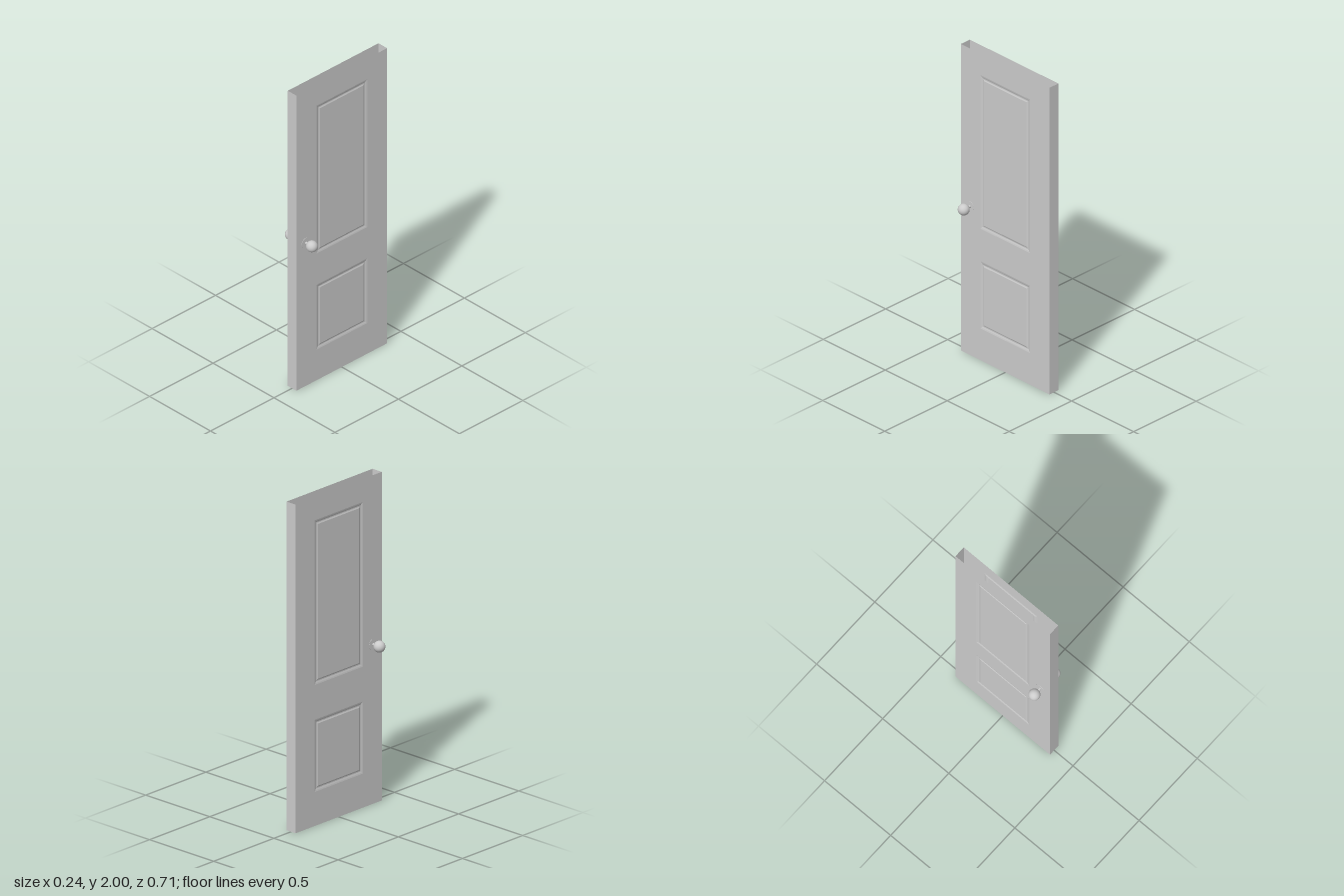
import * as THREE from 'three';

const WIDTH = 0.715, HEIGHT = 2, HALF = 0.036;
const PANELS = [[0.207, 0.646], [0.858, 1.86]]; // bottom and top of each panel
const PANEL_HALF = 0.201;
const KNOB = { y: 0.97, z: 0.284 };

// Moulding section: inset from the panel border, height relative to the face
const MOULDING = [[0, 0], [0.008, -0.0015], [0.016, -0.004], [0.022, -0.004], [0.03, -0.001]];

const shell = new THREE.MeshStandardMaterial({ color: 0xcccccc, side: THREE.DoubleSide });
const solid = new THREE.MeshStandardMaterial({ color: 0xcccccc });

function add(parent, name, geometry, material) {
  const mesh = new THREE.Mesh(geometry, material);
  mesh.name = name;
  parent.add(mesh);
  return mesh;
}

// Corners of a panel border, counter-clockwise, inset and sunk
function corners([y0, y1], [inset, z]) {
  const x = PANEL_HALF - inset;
  return [[-x, y0 + inset, z], [x, y0 + inset, z], [x, y1 - inset, z], [-x, y1 - inset, z]];
}

// Nested rectangles joined by sloping strips, closed by the flat field
function panelGeometry(span) {
  const points = [];
  const quad = (a, b, c, d) => points.push(...a, ...b, ...c, ...a, ...c, ...d);
  const rings = MOULDING.map((step) => corners(span, step));
  for (let r = 0; r < rings.length - 1; r++) {
    const outer = rings[r], inner = rings[r + 1];
    for (let i = 0; i < 4; i++) {
      const j = (i + 1) % 4;
      quad(outer[i], outer[j], inner[j], inner[i]);
    }
  }
  quad(...rings[rings.length - 1]);
  const geometry = new THREE.BufferGeometry();
  geometry.setAttribute('position', new THREE.Float32BufferAttribute(points, 3));
  geometry.computeVertexNormals();
  return geometry;
}

// Flat door face with an opening for each panel
function faceGeometry() {
  const w = WIDTH / 2;
  const shape = new THREE.Shape([[-w, 0], [w, 0], [w, HEIGHT], [-w, HEIGHT]].map((p) => new THREE.Vector2(...p)));
  for (const span of PANELS) {
    const hole = corners(span, MOULDING[0]).map(([x, y]) => new THREE.Vector2(x, y));
    shape.holes.push(new THREE.Path(hole.reverse()));
  }
  return new THREE.ShapeGeometry(shape);
}

export function createModel() {
  const door = new THREE.Group();
  door.name = 'door';

  for (const side of [1, -1]) {
    // Panelled face
    const face = new THREE.Group();
    face.name = side > 0 ? 'leftFace' : 'rightFace';
    add(face, 'faceBoard', faceGeometry(), shell);
    for (const span of PANELS) add(face, 'mouldedPanel', panelGeometry(span), shell);
    face.rotation.y = side * Math.PI / 2;
    face.position.x = side * (HALF - 0.0005);
    door.add(face);

    // Narrow edge; the slab is open at top and bottom
    const edge = add(door, side > 0 ? 'frontEdge' : 'backEdge', new THREE.PlaneGeometry(HALF * 2 - 0.001, HEIGHT), shell);
    edge.position.set(0, HEIGHT / 2, side * WIDTH / 2);
    if (side < 0) edge.rotation.y = Math.PI;

    // Knob and its thin round plate
    const knob = add(door, 'knob', new THREE.SphereGeometry(0.0345, 32, 24), solid);
    knob.position.set(side * 0.086, KNOB.y, KNOB.z);
    const plate = add(door, 'knobPlate', new THREE.CylinderGeometry(0.033, 0.033, 0.002, 32), solid);
    plate.rotation.z = Math.PI / 2;
    plate.position.set(side * HALF, KNOB.y, KNOB.z);
  }

  // Spindle through the door joining the knobs
  const spindle = add(door, 'spindle', new THREE.CylinderGeometry(0.008, 0.008, 0.16, 20), solid);
  spindle.rotation.z = Math.PI / 2;
  spindle.position.set(0, KNOB.y, KNOB.z);

  return door;
}
